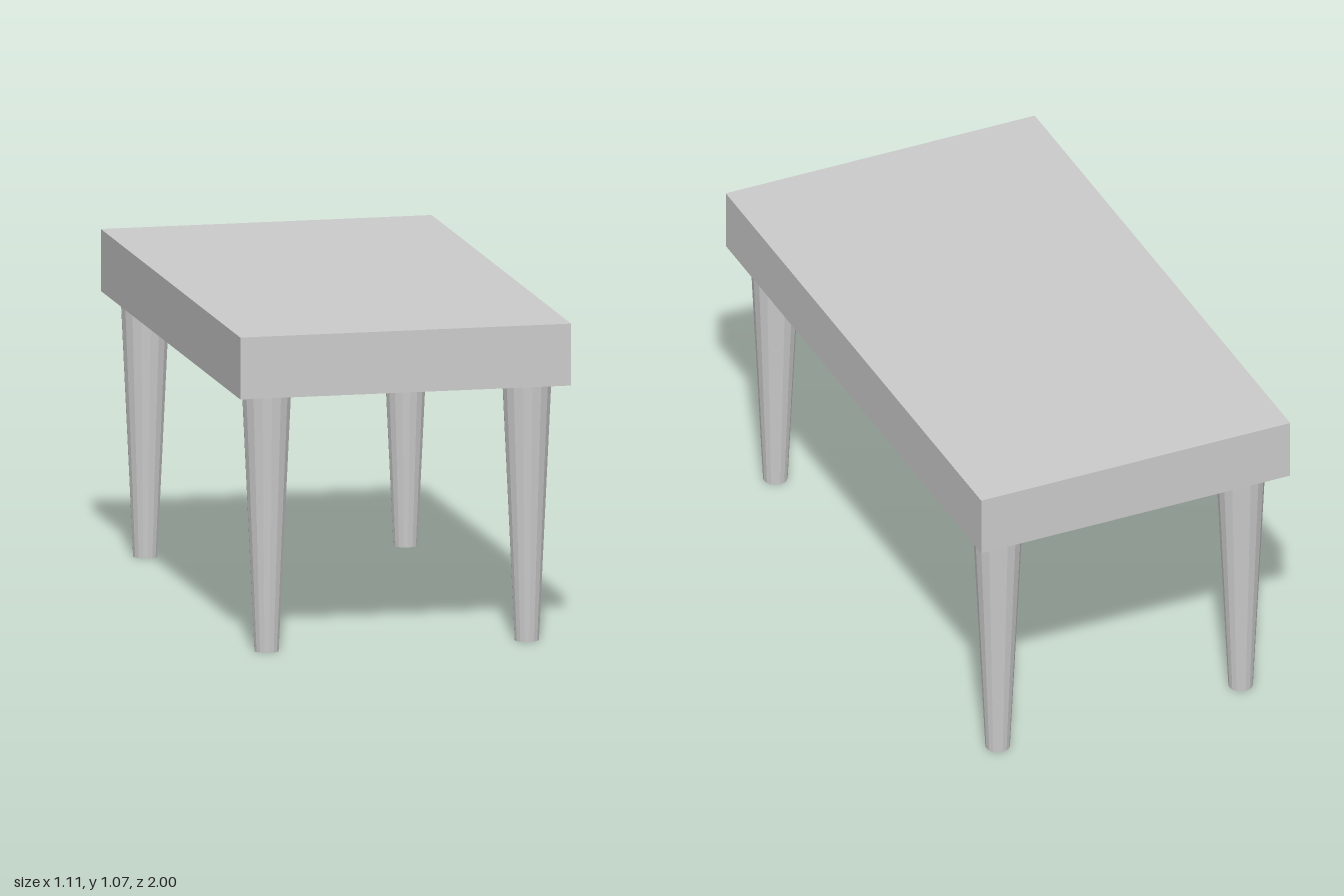
import * as THREE from 'three';

export function createModel() {
  const model = new THREE.Group();
  model.name = 'table';
  const material = new THREE.MeshStandardMaterial({ color: 0xcccccc, flatShading: true });

  const legHeight = 0.86;
  const topThickness = 0.205;

  // Thick slab top
  const top = new THREE.Mesh(new THREE.BoxGeometry(1.106, topThickness, 2), material);
  top.name = 'tableTop';
  top.position.y = legHeight + topThickness / 2;
  model.add(top);

  // Four tapered round legs, one near each corner
  const legGeometry = new THREE.CylinderGeometry(0.081, 0.04, legHeight, 16);
  for (const [zName, z] of [['front', 0.87], ['back', -0.87]]) {
    for (const [xName, x] of [['Left', 0.435], ['Right', -0.435]]) {
      const leg = new THREE.Mesh(legGeometry, material);
      leg.name = `${zName}${xName}Leg`;
      leg.position.set(x, legHeight / 2, z);
      model.add(leg);
    }
  }
  return model;
}
